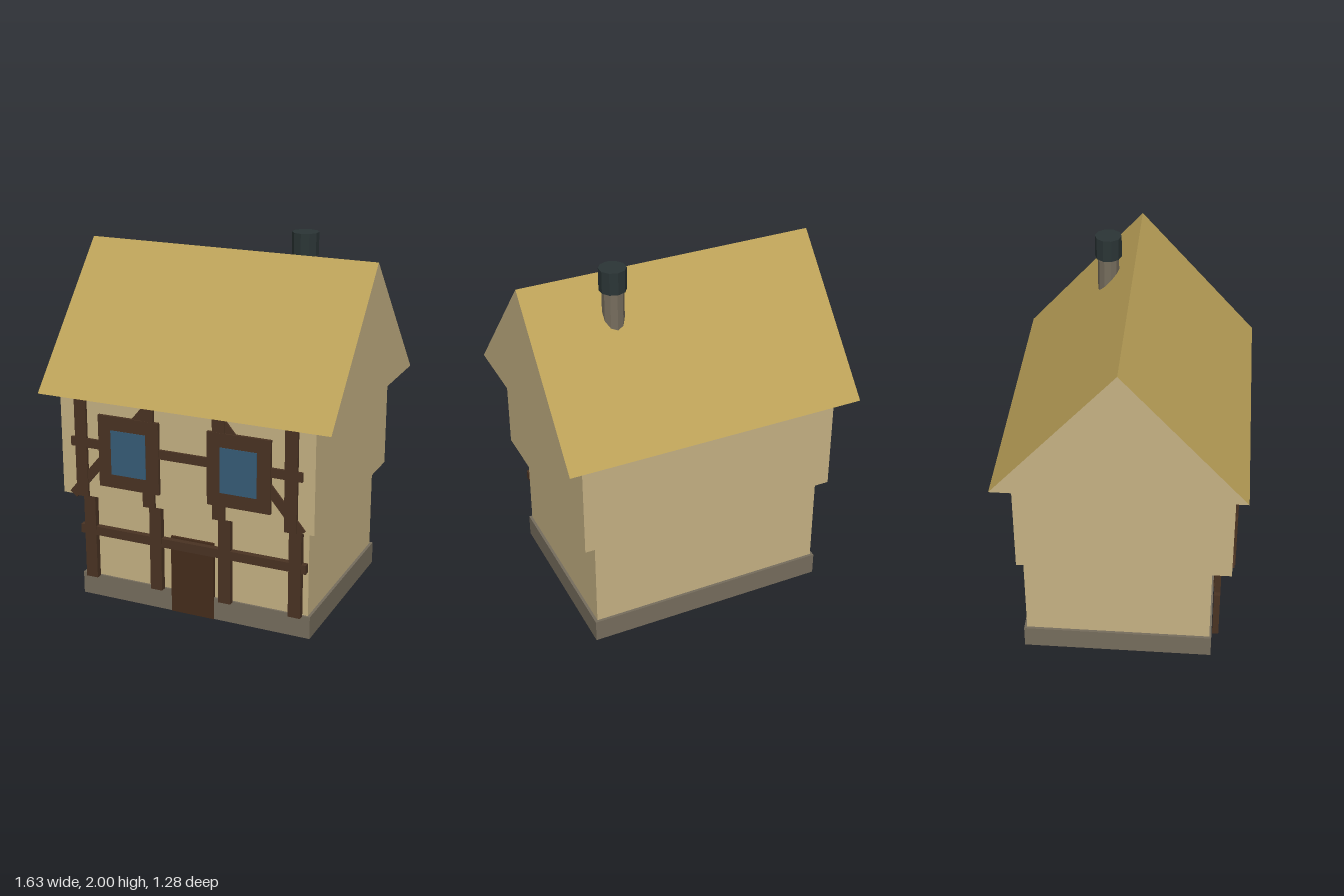
import * as THREE from 'three';

const mat = (name, color) => {
  const m = new THREE.MeshStandardMaterial({ color });
  m.name = name;
  return m;
};

export function createModel() {
  const house = new THREE.Group();
  house.name = 'house';

  const plaster = mat('plaster', 0xc6b284);
  const thatch = mat('thatch', 0xbba158);
  const timber = mat('timber', 0x4a3323);
  const doorWood = mat('doorWood', 0x452c1b);
  const stone = mat('stone', 0x766d5d);
  const glass = mat('glass', 0x365c77);
  const iron = mat('iron', 0x2b3536);
  stone.flatShading = iron.flatShading = true;

  const add = (name, geometry, material) => {
    const mesh = new THREE.Mesh(geometry, material);
    mesh.name = name;
    house.add(mesh);
    return mesh;
  };
  // Box given by its lower and upper bounds on each axis
  const box = (name, material, [x0, x1], [y0, y1], [z0, z1]) => {
    const mesh = add(name, new THREE.BoxGeometry(x1 - x0, y1 - y0, z1 - z0), material);
    mesh.position.set((x0 + x1) / 2, (y0 + y1) / 2, (z0 + z1) / 2);
    return mesh;
  };

  // Foundation and the two storeys
  box('foundation', stone, [-0.67, 0.67], [0, 0.125], [-0.535, 0.488]);
  box('lowerWalls', plaster, [-0.655, 0.655], [0.125, 0.63], [-0.52, 0.477]);
  box('upperWalls', plaster, [-0.718, 0.718], [0.63, 1.19], [-0.547, 0.579]);

  // Roof prism: plaster gables, thatched slopes and underside
  const gable = new THREE.Shape([
    new THREE.Vector2(-0.642, 1.19),
    new THREE.Vector2(0.642, 1.19),
    new THREE.Vector2(0, 1.907),
  ]);
  const roof = new THREE.ExtrudeGeometry(gable, { depth: 1.634, bevelEnabled: false });
  roof.translate(0, 0, -0.817).rotateY(Math.PI / 2);
  add('roof', roof, [plaster, thatch]);

  // Chimney
  const shaft = add('chimneyShaft', new THREE.CylinderGeometry(0.057, 0.057, 0.3, 10), stone);
  shaft.position.set(0.365, 1.74, -0.15);
  const cap = add('chimneyCap', new THREE.CylinderGeometry(0.071, 0.071, 0.12, 10), iron);
  cap.position.set(0.365, 1.94, -0.15);

  // Door and horizontal rails
  box('door', doorWood, [-0.125, 0.125], [0, 0.44], [0.45, 0.492]);
  box('lowerRail', timber, [-0.655, 0.655], [0.38, 0.43], [0.49, 0.523]);
  box('upperRail', timber, [-0.655, 0.655], [0.91, 0.96], [0.56, 0.593]);

  // Posts, braces and windows mirrored about the middle
  for (const s of [-1, 1]) {
    for (const x of [0.595, 0.2]) {
      const span = [s * x - 0.034, s * x + 0.034];
      box('lowerPost', timber, span, [0.125, 0.63], [0.491, 0.525]);
      box('upperPost', timber, span, [0.63, 1.19], [0.56, 0.595]);
    }
    const dx = 0.45, dy = 0.54;
    const brace = add('brace', new THREE.BoxGeometry(0.05, Math.hypot(dx, dy), 0.03), timber);
    brace.position.set(s * (0.654 - dx / 2), 0.632 + dy / 2, 0.575);
    brace.rotation.z = s * Math.atan2(dx, dy);

    const cx = s * 0.312;
    box('windowFrame', timber, [cx - 0.175, cx + 0.175], [0.71, 1.105], [0.57, 0.597]);
    box('windowPane', glass, [cx - 0.101, cx + 0.101], [0.785, 1.03], [0.594, 0.6]);
  }
  return house;
}
